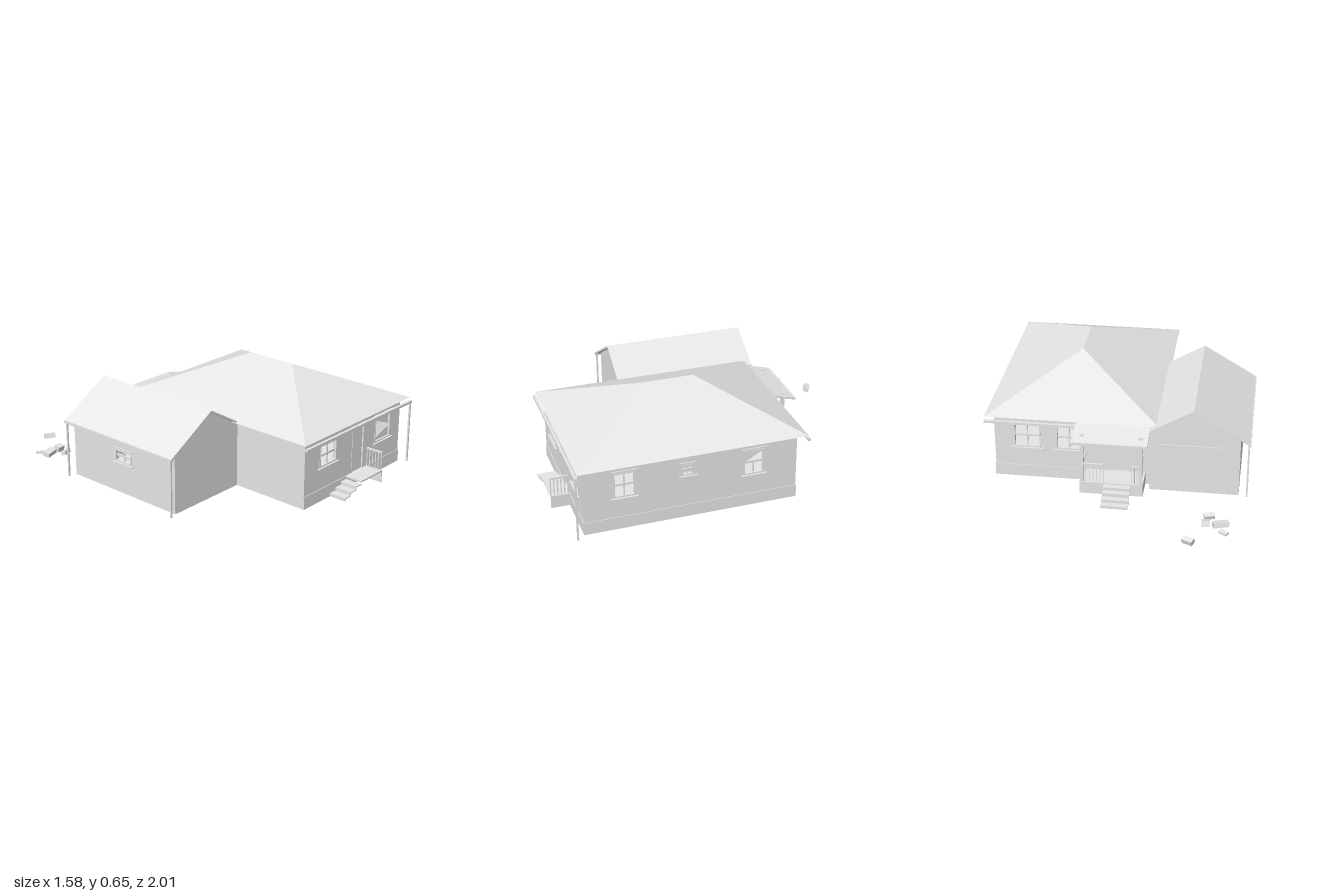
import * as THREE from 'three';

// Double-sided because the roof is an open shell
const grey = new THREE.MeshStandardMaterial({ color: 0xe6e6e6, side: THREE.DoubleSide });
grey.name = 'plain grey';
const T = 0.025, BASE = 0.008, FLOOR = 0.085, EAVE = 0.425, WALL = 0.44;

function add(parent, name, geo) {
  const m = new THREE.Mesh(geo, grey);
  m.name = name;
  parent.add(m);
  return m;
}
// Box given by its extents on each axis
function box(parent, name, x0, x1, y0, y1, z0, z1) {
  const m = add(parent, name, new THREE.BoxGeometry(x1 - x0, y1 - y0, z1 - z0));
  m.position.set((x0 + x1) / 2, (y0 + y1) / 2, (z0 + z1) / 2);
  return m;
}
function plate(pts, depth) {
  const s = new THREE.Shape(pts.map(p => new THREE.Vector2(p[0], p[1])));
  return new THREE.ExtrudeGeometry(s, { depth, bevelEnabled: false });
}

// Turn that makes local +z look out of the house; s maps world coordinate to local x
const FACING = { front: [0, 1], right: [Math.PI / 2, -1], back: [Math.PI, -1], left: [-Math.PI / 2, 1] };

// Wall with real openings, each { u: [a, b], y: [a, b], kind }
function wall(parent, name, facing, at, outline, openings = []) {
  const [turn, s] = FACING[facing];
  const g = new THREE.Group();
  g.name = name;
  g.rotation.y = turn;
  if (facing === 'front' || facing === 'back') g.position.z = at; else g.position.x = at;
  parent.add(g);
  const shape = new THREE.Shape(outline.map(p => new THREE.Vector2(p[0] * s, p[1])));
  for (const o of openings) {
    const xs = o.u.map(v => v * s).sort((a, b) => a - b), [y0, y1] = o.y;
    shape.holes.push(new THREE.Path([[xs[0], y0], [xs[0], y1], [xs[1], y1], [xs[1], y0]]
      .map(p => new THREE.Vector2(p[0], p[1]))));
    opening(g, xs[0], xs[1], y0, y1, o.kind);
  }
  const geo = new THREE.ExtrudeGeometry(shape, { depth: T, bevelEnabled: false });
  add(g, name + ' panel', geo.translate(0, 0, -T));
}
const rect = (a, b, y0, y1) => [[a, y0], [b, y0], [b, y1], [a, y1]];

// Frame, glazing bars, lintel and sill, or a door leaf
function opening(g, x0, x1, y0, y1, kind) {
  const f = 0.007, cx = (x0 + x1) / 2, cy = (y0 + y1) / 2, zb = -0.018, zf = 0.003;
  box(g, 'frame side', x0, x0 + f, y0, y1, zb, zf);
  box(g, 'frame side', x1 - f, x1, y0, y1, zb, zf);
  box(g, 'frame head', x0, x1, y1 - f, y1, zb, zf);
  box(g, 'lintel', x0 - 0.015, x1 + 0.015, y1 + 0.009, y1 + 0.015, -0.01, 0.008);
  if (kind === 'door') {
    box(g, 'door', x0 + f, x1 - f, y0, y1 - f, -0.018, -0.006);
    add(g, 'door knob', new THREE.SphereGeometry(0.004, 8, 6)).position.set(x1 - 0.014, cy - 0.01, -0.004);
    return;
  }
  box(g, 'frame foot', x0, x1, y0, y0 + f, zb, zf);
  box(g, 'sill', x0 - 0.017, x1 + 0.017, y0 - 0.01, y0 - 0.003, -0.01, 0.013);
  if (kind === 'broken') {
    // Pointed shards left in the frame
    const top = add(g, 'glass shard', plate([[x0, y1 - 0.02], [x1, cy], [x1, y1], [x0, y1]], 0.003));
    const low = add(g, 'glass shard', plate([[x0, y0], [x1, y0], [x1, cy - 0.01], [x0, y0 + 0.02]], 0.003));
    top.position.z = low.position.z = -0.012;
    return;
  }
  const barTop = kind === 'boarded' ? cy : y1;
  box(g, 'glazing bar', cx - 0.004, cx + 0.004, y0, barTop, -0.014, -0.006);
  box(g, 'glazing bar', x0, x1, cy - 0.006, cy + 0.006, -0.014, -0.004);
  if (kind === 'boarded')
    add(g, 'corner board', plate([[x0, cy + 0.005], [x1, y1], [x0, y1]], 0.006)).position.z = -0.002;
}

// Rail with balusters between two floor points
function railing(parent, xa, za, xb, zb) {
  const g = new THREE.Group();
  g.name = 'railing';
  const len = Math.hypot(xb - xa, zb - za);
  g.position.set(xa, 0, za);
  g.rotation.y = -Math.atan2(zb - za, xb - xa);
  parent.add(g);
  box(g, 'hand rail', 0, len, 0.195, 0.205, -0.006, 0.006);
  const n = Math.max(2, Math.round(len / 0.022));
  for (let i = 0; i <= n; i++) {
    const x = 0.003 + (len - 0.006) * i / n;
    box(g, 'baluster', x - 0.003, x + 0.003, FLOOR, 0.197, -0.003, 0.003);
  }
}

// Folded sheet of steps climbing along +x, open underneath
function steps(count, run, y0, rise, width) {
  const t = 0.006, top = [[0, BASE]], under = [];
  for (let i = 0; i < count; i++) {
    const y = y0 + i * rise;
    top.push([i * run, y], [(i + 1) * run, y]);
    under.unshift([i * run + t, y - t], [(i + 1) * run + t, y - t]);
    under.splice(0, 2, under[1], under[0]);
  }
  return plate([...top, ...under, [t, BASE]], width);
}

function hipRoof() {
  const e = EAVE, r = 0.654;
  const p = [-0.25, e, 0.925, 0.785, e, 0.925, 0.785, e, -0.43, -0.25, e, -0.43, 0.27, r, 0.41, 0.27, r, 0.09];
  const geo = new THREE.BufferGeometry();
  geo.setAttribute('position', new THREE.Float32BufferAttribute(p, 3));
  geo.setIndex([0, 1, 4, 1, 2, 5, 1, 5, 4, 2, 3, 5, 3, 0, 4, 3, 4, 5]);
  const flat = geo.toNonIndexed();
  flat.computeVertexNormals();
  return flat;
}

export function createModel() {
  const house = new THREE.Group();
  house.name = 'house';

  // Main block
  const X0 = -0.2, X1 = 0.737, Z0 = -0.38, Z1 = 0.885;
  wall(house, 'front wall', 'front', Z1, rect(X0, X1, BASE, WALL), [
    { u: [-0.06, 0.097], y: [0.222, 0.357] },
    { u: [0.25, 0.367], y: [FLOOR, 0.367], kind: 'door' },
    { u: [0.48, 0.637], y: [0.207, 0.369], kind: 'broken' }]);
  wall(house, 'right wall', 'right', X1, rect(Z0, Z1, BASE, WALL), [
    { u: [0.585, 0.71], y: [0.212, 0.366] },
    { u: [0.243, 0.315], y: [0.28, 0.347] },
    { u: [-0.18, -0.055], y: [0.212, 0.366], kind: 'boarded' }]);
  wall(house, 'back wall', 'back', Z0, rect(X0, X1, BASE, WALL), [
    { u: [0.46, 0.62], y: [0.212, 0.366] },
    { u: [0.21, 0.365], y: [0.212, 0.366] },
    { u: [-0.08, 0.035], y: [FLOOR, 0.36], kind: 'door' }]);
  wall(house, 'left wall', 'left', X0, rect(Z0, Z1, BASE, WALL));
  box(house, 'inner wall', X0 + T, X1 - T, FLOOR, WALL, 0.24, 0.26);
  box(house, 'floor', X0 + 0.002, X1 - 0.002, FLOOR - 0.012, FLOOR, Z0 + 0.002, Z1 - 0.002);
  const P = 0.004;
  for (const [a, b, c, d] of [[X0, X1 + P, Z1, Z1 + P], [X0, X1 + P, Z0 - P, Z0], [X1, X1 + P, Z0, Z1]])
    box(house, 'foundation', a, b, BASE, FLOOR, c, d);
  add(house, 'main roof', hipRoof());
  box(house, 'front gutter', -0.25, 0.785, 0.392, 0.407, 0.923, 0.94);
  box(house, 'back gutter', 0.24, 0.785, 0.392, 0.407, -0.445, -0.428);

  // Side garage with gable roof
  const GX = -0.73, GZ0 = -0.44, GZ1 = 0.385, RX = -0.455, RY = 0.564, SL = 0.59;
  const roofY = x => RY - 0.014 - Math.abs(x - RX) * SL;
  const gable = [[GX, BASE], [X0, BASE], [X0, roofY(X0)], [RX, roofY(RX)], [GX, roofY(GX)]];
  wall(house, 'garage front wall', 'front', GZ1, gable);
  wall(house, 'garage back wall', 'back', GZ0, gable);
  wall(house, 'garage left wall', 'left', GX, rect(GZ0, GZ1, BASE, roofY(GX)),
    [{ u: [-0.09, 0.04], y: [0.203, 0.276] }]);
  box(house, 'garage floor', GX + 0.002, X0, BASE, 0.02, GZ0 + 0.002, GZ1 - 0.002);
  box(house, 'garage door lintel', -0.65, -0.26, 0.315, 0.323, GZ0 - 0.006, GZ0);
  const roofLine = [[-0.785, 0.369], [-0.785, 0.356], [RX, RY - 0.013], [-0.2, 0.4], [-0.2, 0.413], [RX, RY]];
  add(house, 'garage roof', plate(roofLine, 0.875)).position.z = -0.463;
  box(house, 'garage gutter', -0.79, -0.772, 0.352, 0.367, -0.463, 0.412);

  // Downpipes
  for (const [x, z, top] of [[-0.778, 0.4, 0.355], [-0.778, -0.45, 0.355], [0.776, 0.932, 0.395]])
    box(house, 'downpipe', x - 0.005, x + 0.005, BASE, top, z - 0.005, z + 0.005);

  // Front landing, open underneath, with sideways steps
  box(house, 'front landing', 0.2, 0.41, FLOOR - 0.01, FLOOR, Z1, 0.998);
  box(house, 'landing side', 0.402, 0.41, BASE, FLOOR - 0.01, Z1, 0.998);
  add(house, 'front steps', steps(3, 0.052, 0.028, 0.019, 0.998 - Z1)).position.set(0.045, 0, Z1);
  railing(house, 0.402, 0.89, 0.402, 0.998);

  // Back porch on a hollow base
  const PA = -0.17, PB = 0.205, PZ = -0.53;
  box(house, 'porch floor', PA, PB, FLOOR - 0.012, FLOOR, PZ, Z0);
  box(house, 'porch base', PA, PB, BASE, FLOOR - 0.012, PZ, PZ + 0.012);
  for (const x of [PA, PB - 0.012])
    box(house, 'porch base', x, x + 0.012, BASE, FLOOR - 0.012, PZ, Z0);
  const back = add(house, 'porch steps', steps(4, 0.038, 0.025, 0.018, 0.16));
  back.rotation.y = -Math.PI / 2;
  back.position.set(0.06, 0, -0.683);
  for (const x of [-0.155, 0.19])
    box(house, 'porch post', x - 0.01, x + 0.01, FLOOR, 0.397, -0.526, -0.506);
  box(house, 'porch beam', -0.165, 0.2, 0.358, 0.374, -0.523, -0.509);
  railing(house, 0.19, Z0, 0.19, -0.51);
  railing(house, -0.155, Z0, -0.155, -0.51);
  railing(house, -0.155, -0.516, -0.1, -0.516);
  railing(house, 0.06, -0.516, 0.19, -0.516);
  const porch = add(house, 'porch roof',
    plate([[0.37, 0.428], [0.37, 0.416], [0.57, 0.364], [0.57, 0.376]], 0.44));
  porch.rotation.y = Math.PI / 2;
  porch.position.x = -0.2;
  box(house, 'porch gutter', -0.2, 0.24, 0.362, 0.376, -0.582, -0.568);

  // Loose bricks: x, y, z, length, height, depth, turn, tilt
  const bricks = [[-0.475, 0.03, -0.977, 0.065, 0.03, 0.035, -0.45, -0.3], [-0.665, 0.013, -0.848, 0.055, 0.012, 0.03, -0.6, -0.1],
    [-0.645, 0.024, -0.782, 0.09, 0.028, 0.045, 0.3, 0.2], [-0.56, 0.028, -0.788, 0.05, 0.035, 0.04, 0.05, 0.3],
    [-0.575, 0.026, -0.71, 0.06, 0.025, 0.032, 0.3, -0.25]];
  for (const [x, y, z, l, h, d, turn, tilt] of bricks) {
    const b = add(house, 'loose brick', new THREE.BoxGeometry(l, h, d));
    b.position.set(x, y, z);
    b.rotation.set(tilt, turn, 0, 'YXZ');
  }
  return house;
}
